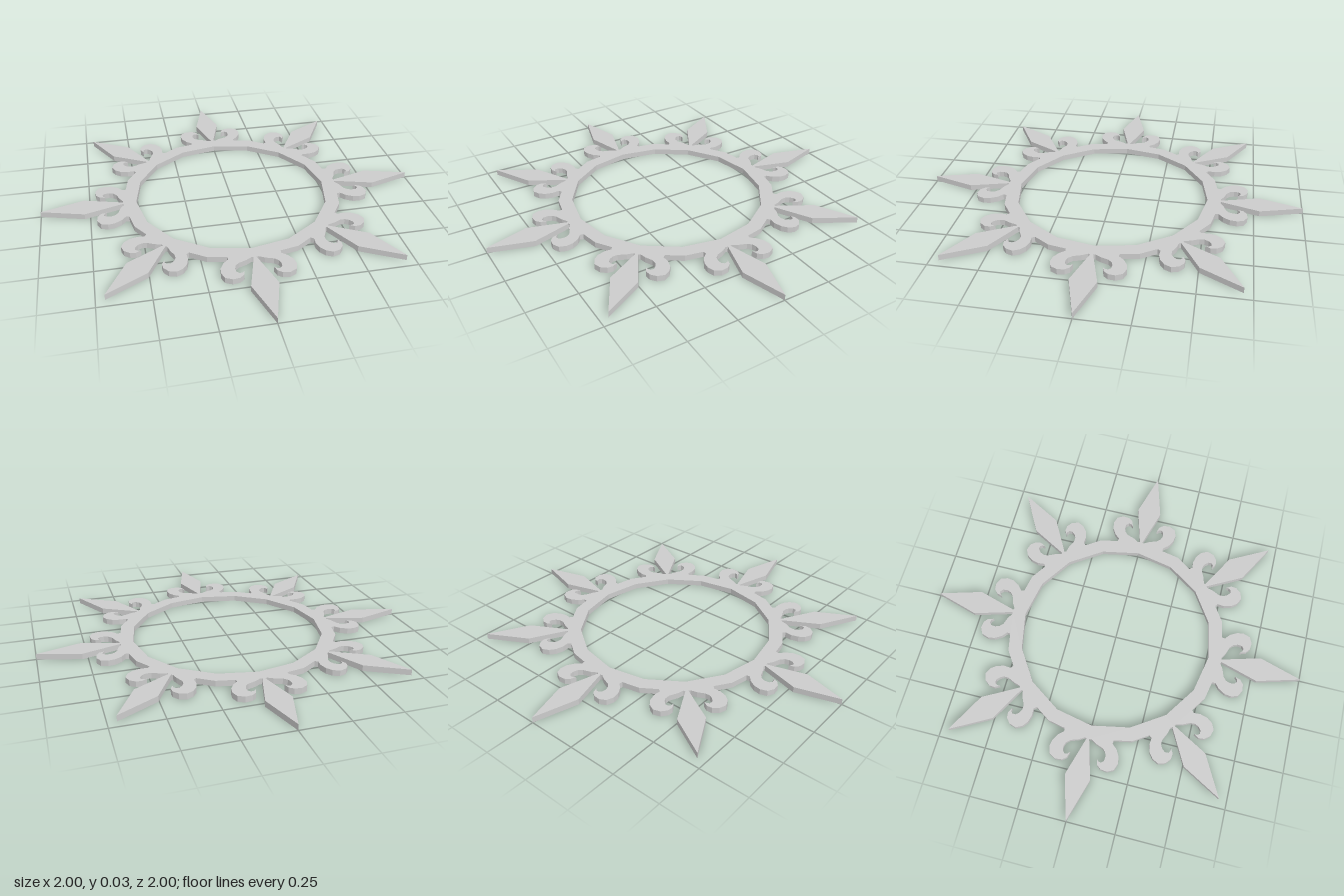
import * as THREE from 'three';

const THICKNESS = 0.03;
const material = new THREE.MeshStandardMaterial({ color: 0xcccccc, flatShading: true });

// Flat plate lying on y = 0, cut from a 2D outline
function plate(name, points, hole) {
  const shape = new THREE.Shape(points);
  if (hole) shape.holes.push(new THREE.Path(hole));
  const geometry = new THREE.ExtrudeGeometry(shape, { depth: THICKNESS, bevelEnabled: false });
  geometry.rotateX(-Math.PI / 2);
  const mesh = new THREE.Mesh(geometry, material);
  mesh.name = name;
  return mesh;
}

const toPoints = (pairs, side = 1) => pairs.map(([x, y]) => new THREE.Vector2(x * side, y));

function polygon(radius, sides) {
  return Array.from({ length: sides }, (_, i) => {
    const a = (i / sides) * Math.PI * 2;
    return new THREE.Vector2(Math.cos(a) * radius, Math.sin(a) * radius);
  });
}

// Outlines as [sideways offset, distance from centre]
const SPIKE = [[-0.006, 0.575], [0.006, 0.575], [0.065, 0.778], [0, 1], [-0.065, 0.778]];
const CURL = [
  [0.015, 0.575], [0.13, 0.553], [0.128, 0.572], [0.155, 0.595], [0.175, 0.63], [0.18, 0.665],
  [0.168, 0.7], [0.135, 0.717], [0.1, 0.713], [0.078, 0.695], [0.07, 0.666], [0.08, 0.677],
  [0.095, 0.68], [0.108, 0.668], [0.11, 0.645], [0.103, 0.624], [0.085, 0.607], [0.045, 0.593],
];

export function createModel() {
  const model = new THREE.Group();
  model.name = 'spikedRing';

  // Sixteen-sided ring
  model.add(plate('ring', polygon(0.58, 16), polygon(0.508, 16)));

  // Eight ornaments: a diamond spike between two mirrored curls
  for (let i = 0; i < 8; i++) {
    const ornament = new THREE.Group();
    ornament.name = 'ornament' + (i + 1);
    ornament.add(
      plate('spike', toPoints(SPIKE)),
      plate('leftCurl', toPoints(CURL, -1)),
      plate('rightCurl', toPoints(CURL)),
    );
    ornament.rotation.y = (i * Math.PI) / 4;
    model.add(ornament);
  }
  return model;
}
